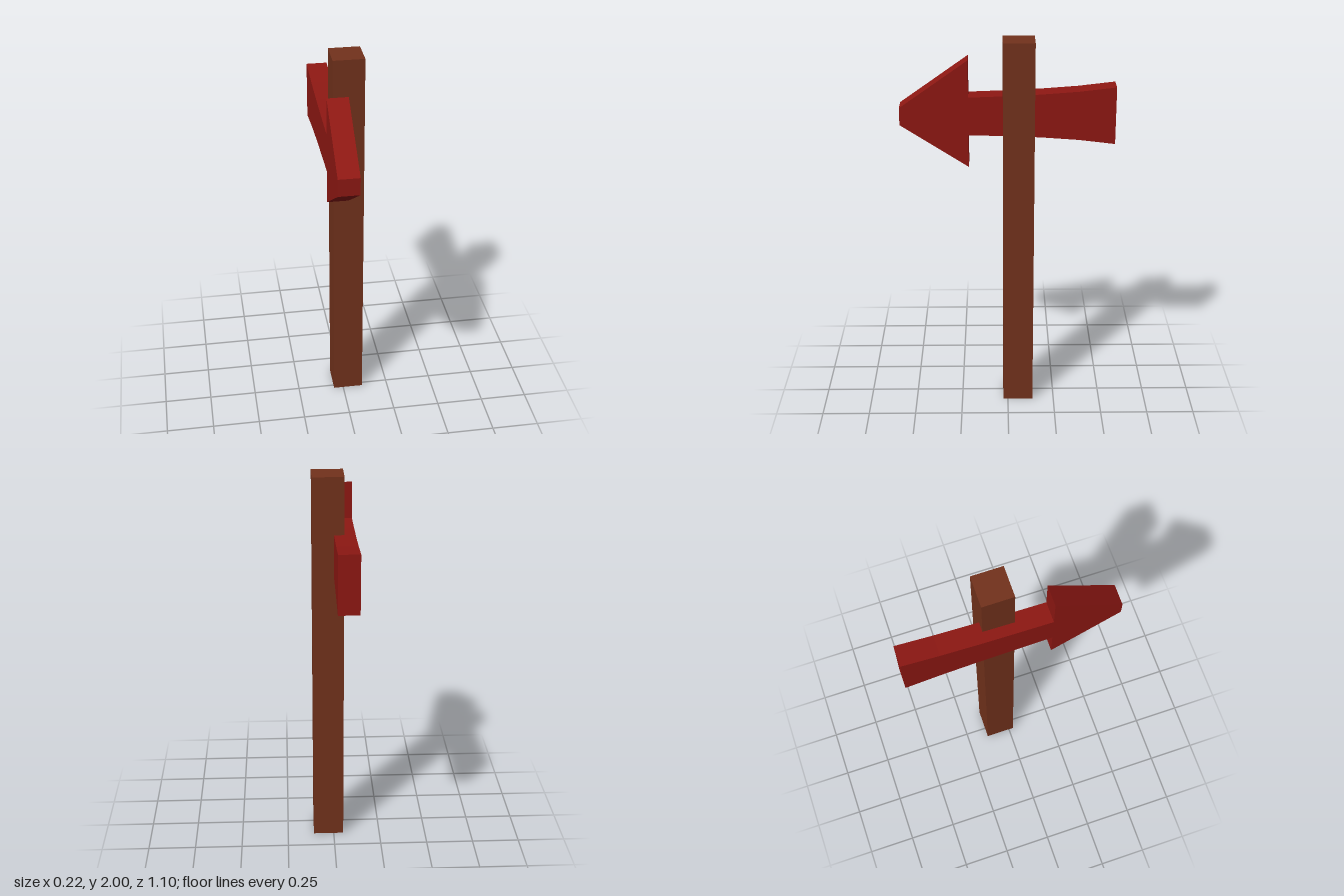
import * as THREE from 'three';

export function createModel() {
  const model = new THREE.Group();
  model.name = 'arrowSignpost';
  const wood = new THREE.MeshStandardMaterial({ color: 0x73321c, flatShading: true });
  const red = new THREE.MeshStandardMaterial({ color: 0x8f1813, flatShading: true });

  // Square post
  const post = new THREE.Mesh(new THREE.BoxGeometry(0.16, 2, 0.16), wood);
  post.name = 'post';
  post.position.set(0.028, 1, -0.055);
  model.add(post);

  // Arrow board: blunt head towards +z, shaft flaring towards the tail; outline is (-z, y)
  const outline = [
    [-0.55, 1.55], [-0.2, 1.323], [-0.2, 1.495], [0, 1.489], [0.17, 1.482], [0.36, 1.468], [0.55, 1.445],
    [0.55, 1.745], [0.36, 1.723], [0.17, 1.709], [0, 1.701], [-0.2, 1.694], [-0.2, 1.887], [-0.55, 1.64],
  ];
  const shape = new THREE.Shape(outline.map(([u, y]) => new THREE.Vector2(u, y)));
  const geometry = new THREE.ExtrudeGeometry(shape, { depth: 0.107, bevelEnabled: false });
  geometry.rotateY(Math.PI / 2);
  geometry.translate(-0.108, 0, 0);
  const arrow = new THREE.Mesh(geometry, red);
  arrow.name = 'arrowBoard';
  model.add(arrow);

  return model;
}
